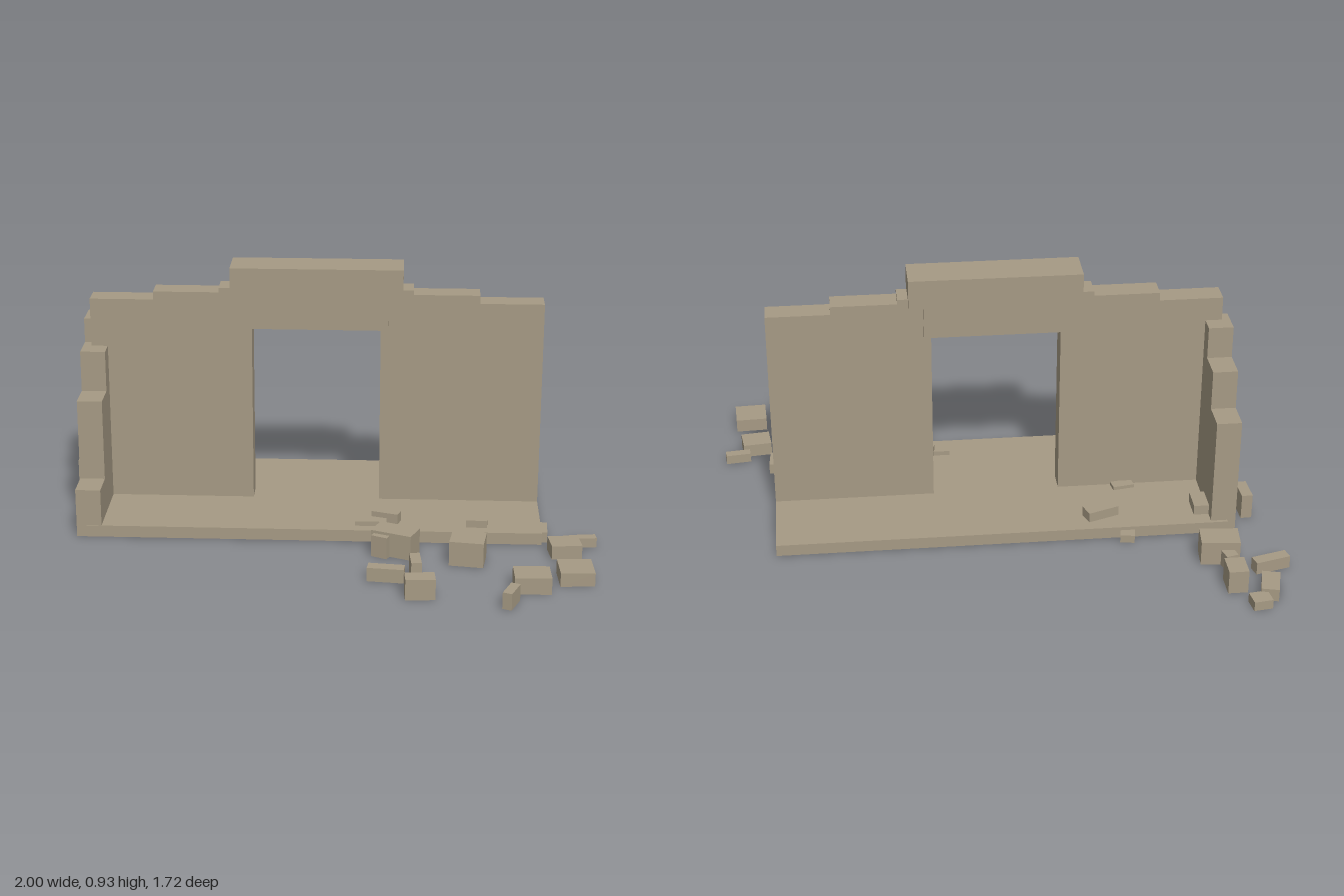
import * as THREE from 'three';

export function createModel() {
  const model = new THREE.Group();
  model.name = 'ruinedDoorway';
  const stone = new THREE.MeshStandardMaterial({ color: 0xa69a84 });
  stone.name = 'sandstone';

  // Box given by its limits on each axis
  function block(name, x0, x1, y0, y1, z0, z1, parent = model) {
    const mesh = new THREE.Mesh(new THREE.BoxGeometry(x1 - x0, y1 - y0, z1 - z0), stone);
    mesh.position.set((x0 + x1) / 2, (y0 + y1) / 2, (z0 + z1) / 2);
    mesh.name = name;
    parent.add(mesh);
    return mesh;
  }

  const floorTop = 0.043;
  block('floorSlab', -0.83, 0.805, 0, floorTop, -0.36, 0.32);

  // Front wall: two piers, each with worn courses stepping up to the lintel
  const wall = new THREE.Group();
  wall.name = 'frontWall';
  model.add(wall);
  const back = -0.062, front = 0.025;
  block('rightPier', -0.83, -0.245, floorTop, 0.803, back, front, wall);
  block('rightLowerCourse', -0.6, -0.245, 0.803, 0.833, back, front, wall);
  block('rightUpperCourse', -0.363, -0.245, 0.833, 0.85, back, front, wall);
  block('leftPier', 0.22, 0.805, floorTop, 0.803, back, front, wall);
  block('leftLowerCourse', 0.22, 0.575, 0.803, 0.833, back, front, wall);
  block('leftUpperCourse', 0.22, 0.338, 0.833, 0.85, back, front, wall);

  // Lintel and the cornice above it
  block('lintel', -0.273, 0.247, 0.705, 0.822, -0.084, 0.05);
  block('cornice', -0.32, 0.3, 0.822, 0.932, -0.09, 0.057);

  // Broken side wall: one extruded stepped outline
  const heights = [0.178, 0.475, 0.625, 0.715, 0.595, 0.447];
  const step = 0.111;
  const outline = new THREE.Shape();
  outline.moveTo(-0.318, 0);
  heights.forEach((h, i) => {
    outline.lineTo(-0.318 + i * step, h);
    outline.lineTo(-0.318 + (i + 1) * step, h);
  });
  outline.lineTo(-0.318 + heights.length * step, 0);
  const sideGeometry = new THREE.ExtrudeGeometry(outline, { depth: 0.09, bevelEnabled: false });
  sideGeometry.rotateY(Math.PI / 2);
  const sideWall = new THREE.Mesh(sideGeometry, stone);
  sideWall.position.x = -0.86;
  sideWall.name = 'brokenSideWall';
  model.add(sideWall);

  // Fallen stones: x, z, width, depth, bottom, top, turn in degrees
  const rubble = new THREE.Group();
  rubble.name = 'rubble';
  model.add(rubble);
  const place = (rows) => rows.forEach(([x, z, w, d, y0, y1, turn]) => {
    const stoneBlock = block('fallenStone', x - w / 2, x + w / 2, y0, y1, z - d / 2, z + d / 2, rubble);
    stoneBlock.rotation.y = THREE.MathUtils.degToRad(turn);
  });
  // Behind the broken corner
  place([
    [-0.85, -0.825, 0.068, 0.06, 0, 0.035, 8],
    [-0.9, -0.75, 0.063, 0.11, 0, 0.047, -14],
    [-0.788, -0.702, 0.07, 0.09, 0, 0.087, 0],
    [-0.933, -0.606, 0.13, 0.042, 0, 0.047, 15],
    [-0.79, -0.585, 0.045, 0.045, 0, 0.06, 15],
    [-0.765, -0.52, 0.138, 0.095, 0, 0.09, -5],
    [-0.46, -0.375, 0.052, 0.045, 0, 0.03, -10],
    [-0.915, -0.225, 0.04, 0.1, 0, 0.095, 3],
  ]);
  // Resting on the floor slab
  place([
    [-0.75, -0.255, 0.07, 0.095, floorTop, 0.08, 0],
    [-0.375, -0.27, 0.12, 0.055, floorTop, 0.08, 20],
    [-0.485, -0.08, 0.08, 0.04, floorTop, 0.056, 10],
    [0.195, 0.245, 0.112, 0.068, floorTop, 0.06, 0],
    [0.25, 0.225, 0.1, 0.04, floorTop, 0.08, -18],
    [0.575, 0.26, 0.075, 0.035, floorTop, 0.07, -4],
  ]);
  // In front of the doorway
  place([
    [0.81, 0.255, 0.035, 0.09, 0, 0.04, -3],
    [0.285, 0.41, 0.15, 0.085, 0, 0.09, -22],
    [0.24, 0.43, 0.06, 0.06, 0, 0.08, -25],
    [0.538, 0.47, 0.12, 0.1, 0, 0.09, -8],
    [0.88, 0.395, 0.107, 0.09, 0, 0.05, 7],
    [0.95, 0.32, 0.093, 0.035, 0, 0.035, 7],
    [0.903, 0.605, 0.118, 0.115, 0, 0.05, 3],
    [0.75, 0.683, 0.125, 0.098, 0, 0.06, 2],
    [0.255, 0.637, 0.127, 0.043, 0, 0.05, -6],
    [0.355, 0.64, 0.036, 0.085, 0, 0.085, 5],
    [0.37, 0.763, 0.102, 0.06, 0, 0.075, 4],
    [0.674, 0.812, 0.033, 0.085, 0, 0.06, -22],
  ]);

  return model;
}
